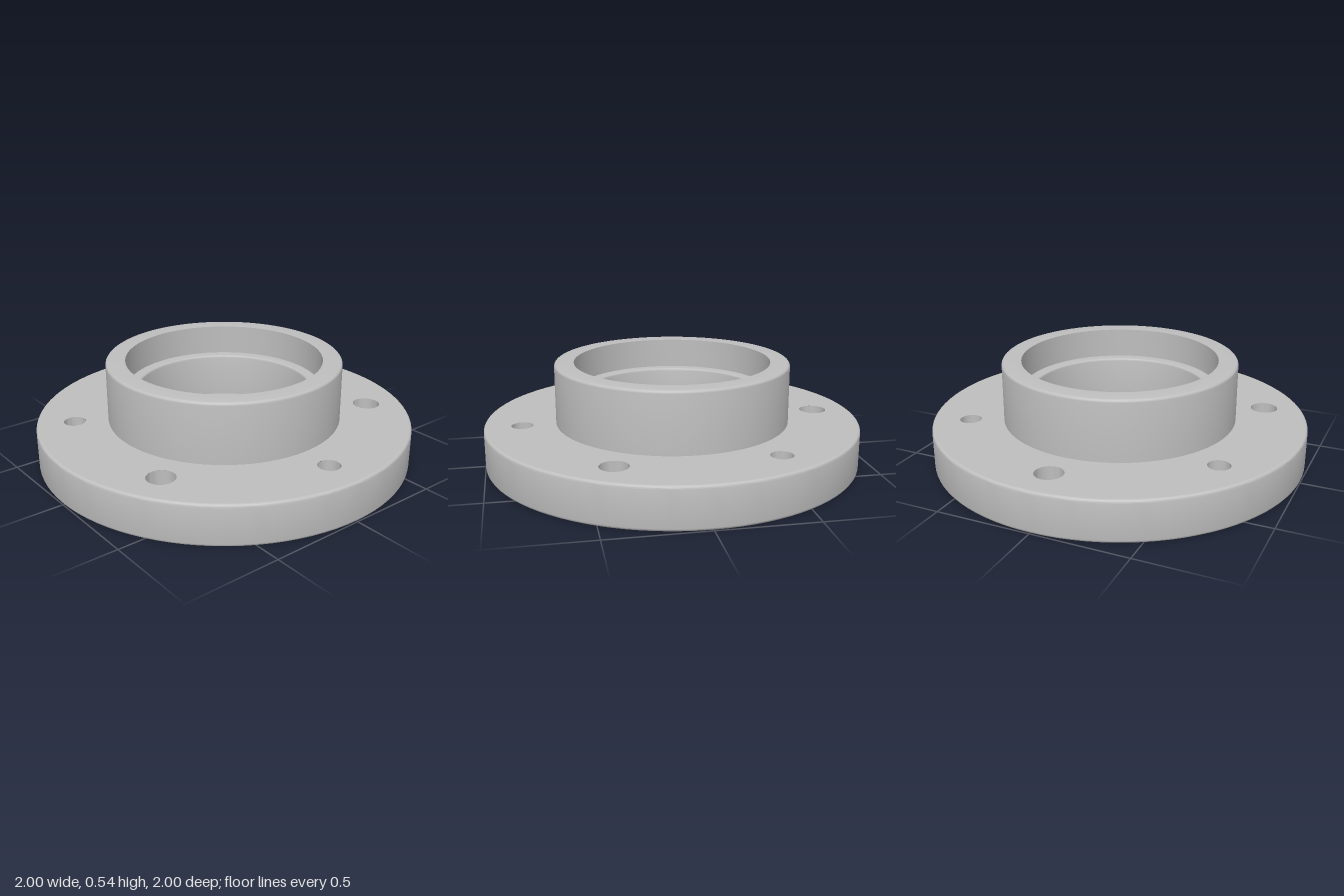
import * as THREE from 'three';
import { toCreasedNormals } from 'three/addons/utils/BufferGeometryUtils.js';

const SEG = 96;
const FLANGE_TOP = 0.215;
const HUB_TOP = 0.535;
const HUB_R = 0.623;
const RECESS_R = 0.63;
const EDGE = 0.015;

// Quarter-round edge points about (r, y), swept between two angles in degrees
function fillet(r, y, radius, from, to, steps = 4) {
  return Array.from({ length: steps + 1 }, (_, i) => {
    const a = THREE.MathUtils.degToRad(from + ((to - from) * i) / steps);
    return [r + radius * Math.cos(a), y + radius * Math.sin(a)];
  });
}

// Turned surface: a profile running upwards faces out, downwards faces in
function turned(profile, segments = SEG) {
  const points = profile.map(([r, y]) => new THREE.Vector2(r, y));
  return toCreasedNormals(new THREE.LatheGeometry(points, segments), 0.5);
}

export function createModel() {
  const steel = new THREE.MeshStandardMaterial({ color: 0xbebebe });
  steel.name = 'steel grey';
  const group = new THREE.Group();
  group.name = 'flangedHub';
  const add = (name, geometry) => {
    const mesh = new THREE.Mesh(geometry, steel);
    mesh.name = name;
    group.add(mesh);
    return mesh;
  };

  // Six bolt holes: wide through holes alternate with narrow countersunk ones
  const holes = Array.from({ length: 6 }, (_, i) => {
    const a = (i * Math.PI) / 3;
    const wide = i % 2 === 1;
    return {
      x: 0.8 * Math.sin(a), z: 0.8 * Math.cos(a), wide,
      topR: wide ? 0.072 : 0.057, bottomR: wide ? 0.072 : 0.082,
    };
  });

  // Flat flange faces
  const face = (inner, top) => {
    const shape = new THREE.Shape().absarc(0, 0, 1 - EDGE, 0, Math.PI * 2);
    const cut = (x, y, r) => shape.holes.push(new THREE.Path().absarc(x, y, r, 0, Math.PI * 2, true));
    cut(0, 0, inner);
    for (const h of holes) cut(h.x, top ? -h.z : h.z, top ? h.topR : h.bottomR);
    return new THREE.ShapeGeometry(shape, SEG / 2)
      .rotateX(top ? -Math.PI / 2 : Math.PI / 2)
      .translate(0, top ? FLANGE_TOP : 0, 0);
  };
  add('flangeTop', face(HUB_R, true));
  add('flangeBottom', face(RECESS_R, false));

  // Outer rim with rounded edges
  add('flangeRim', turned([
    ...fillet(1 - EDGE, EDGE, EDGE, -90, 0),
    ...fillet(1 - EDGE, FLANGE_TOP - EDGE, EDGE, 0, 90),
  ]));

  // Hub wall, stepped bore and shallow recess underneath
  add('hubAndBore', turned([
    [HUB_R, FLANGE_TOP],
    ...fillet(HUB_R - EDGE, HUB_TOP - EDGE, EDGE, 0, 90),
    [0.52, HUB_TOP],
    [0.52, 0.375],
    ...fillet(0.472, 0.363, 0.012, 90, 180),
    [0.46, 0.135],
    [0.378, 0.135],
    [0.378, 0.03],
    [RECESS_R, 0.03],
    [RECESS_R, 0],
  ]));

  // Bolt hole walls
  for (const h of holes) {
    const profile = [[h.topR, FLANGE_TOP]];
    if (!h.wide) profile.push([h.topR, 0.027]);
    profile.push([h.bottomR, 0]);
    add(h.wide ? 'throughHole' : 'countersunkHole', turned(profile, SEG / 2)).position.set(h.x, 0, h.z);
  }
  return group;
}
